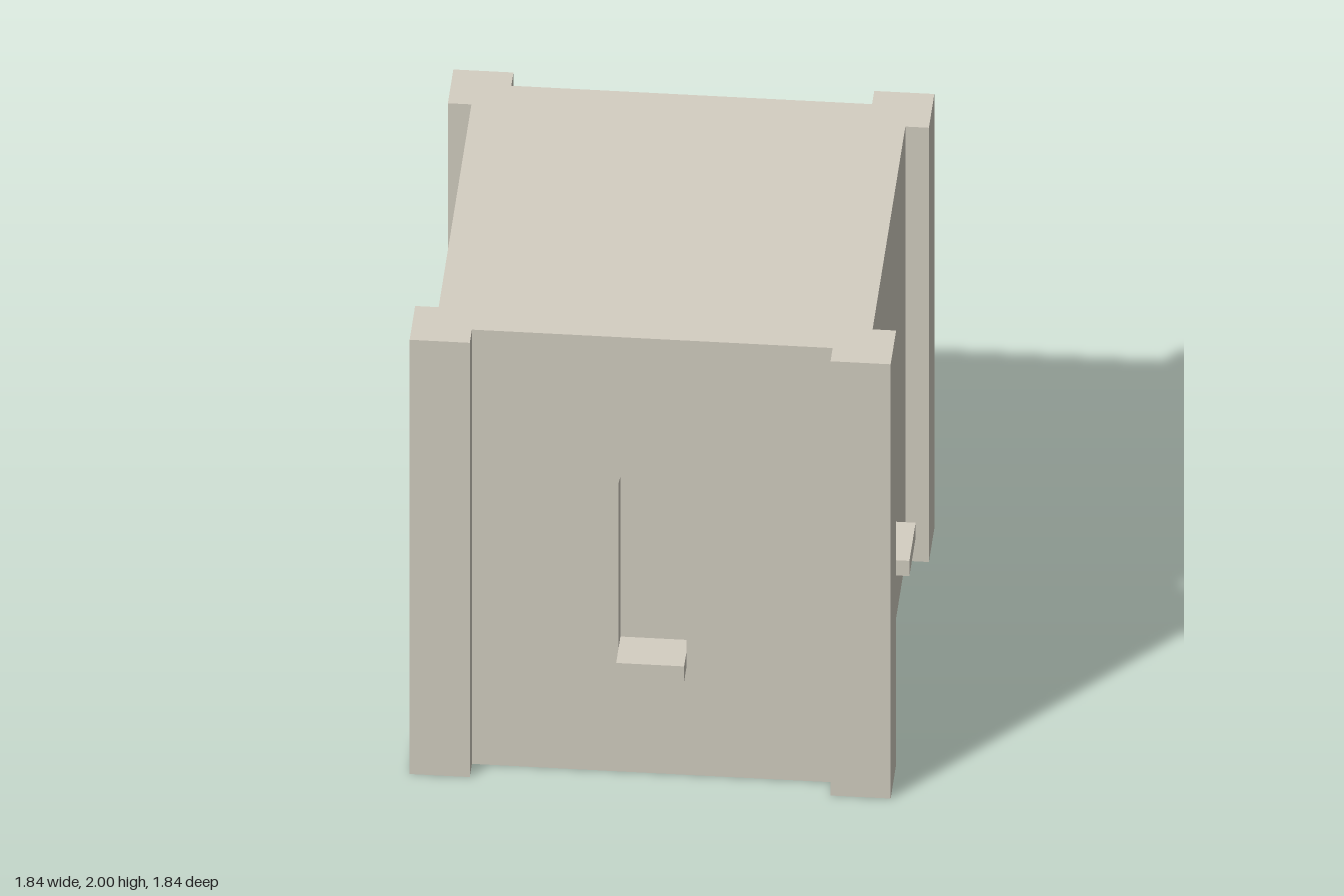
import * as THREE from 'three';
import { toCreasedNormals } from 'three/addons/utils/BufferGeometryUtils.js';

const H = 2;          // height
const OUTER = 0.92;   // outer face of corner piers and sills
const WALL = 0.83;    // wall face
const BACK = 0.74;    // back of the niches
const PIER = 0.69;    // inner edge of the corner piers
const NICHE = 0.13;   // half width of niche and sill
const SILL_LOW = 0.49, SILL_TOP = 0.56, SPRING = 1.31;

const material = new THREE.MeshStandardMaterial({ color: 0xd4cfc2 });

function addMesh(parent, name, geometry, x = 0, y = 0, z = 0) {
  const mesh = new THREE.Mesh(geometry, material);
  mesh.name = name;
  mesh.position.set(x, y, z);
  parent.add(mesh);
  return mesh;
}

// Wall slab with an arched opening
function wallGeometry() {
  const shape = new THREE.Shape();
  shape.moveTo(-PIER, 0).lineTo(PIER, 0).lineTo(PIER, H).lineTo(-PIER, H).closePath();
  const arch = new THREE.Path();
  arch.moveTo(-NICHE, SILL_TOP);
  arch.lineTo(NICHE, SILL_TOP);
  arch.lineTo(NICHE, SPRING);
  arch.absarc(0, SPRING, NICHE, 0, Math.PI, false);
  arch.closePath();
  shape.holes.push(arch);
  const geometry = new THREE.ExtrudeGeometry(shape, {
    depth: WALL - BACK, bevelEnabled: false, curveSegments: 24,
  });
  return toCreasedNormals(geometry, 0.5);
}

// Solid core, notched at the corners to receive the piers
function coreGeometry() {
  const points = [];
  for (let i = 0; i < 4; i++) {
    for (const [x, y] of [[BACK, -PIER], [BACK, PIER], [PIER, PIER]]) {
      points.push(new THREE.Vector2(x, y).rotateAround(new THREE.Vector2(), i * Math.PI / 2));
    }
  }
  const geometry = new THREE.ExtrudeGeometry(new THREE.Shape(points), { depth: H, bevelEnabled: false });
  return geometry.rotateX(-Math.PI / 2);
}

export function createModel() {
  const model = new THREE.Group();
  model.name = 'towerBlock';
  addMesh(model, 'core', coreGeometry());

  const wall = wallGeometry();
  const sill = new THREE.BoxGeometry(2 * NICHE, SILL_TOP - SILL_LOW, OUTER - WALL);
  const pierSize = OUTER - PIER;
  const pier = new THREE.BoxGeometry(pierSize, H, pierSize);
  const pierCentre = (OUTER + PIER) / 2;

  // Four identical sides, each with a wall, a sill and one corner pier
  ['front', 'left', 'back', 'right'].forEach((name, i) => {
    const side = new THREE.Group();
    side.name = name + 'Side';
    side.rotation.y = i * Math.PI / 2;
    addMesh(side, 'nicheWall', wall, 0, 0, BACK);
    addMesh(side, 'windowSill', sill, 0, (SILL_LOW + SILL_TOP) / 2, (WALL + OUTER) / 2);
    addMesh(side, 'cornerPier', pier, pierCentre, H / 2, pierCentre);
    model.add(side);
  });
  return model;
}
